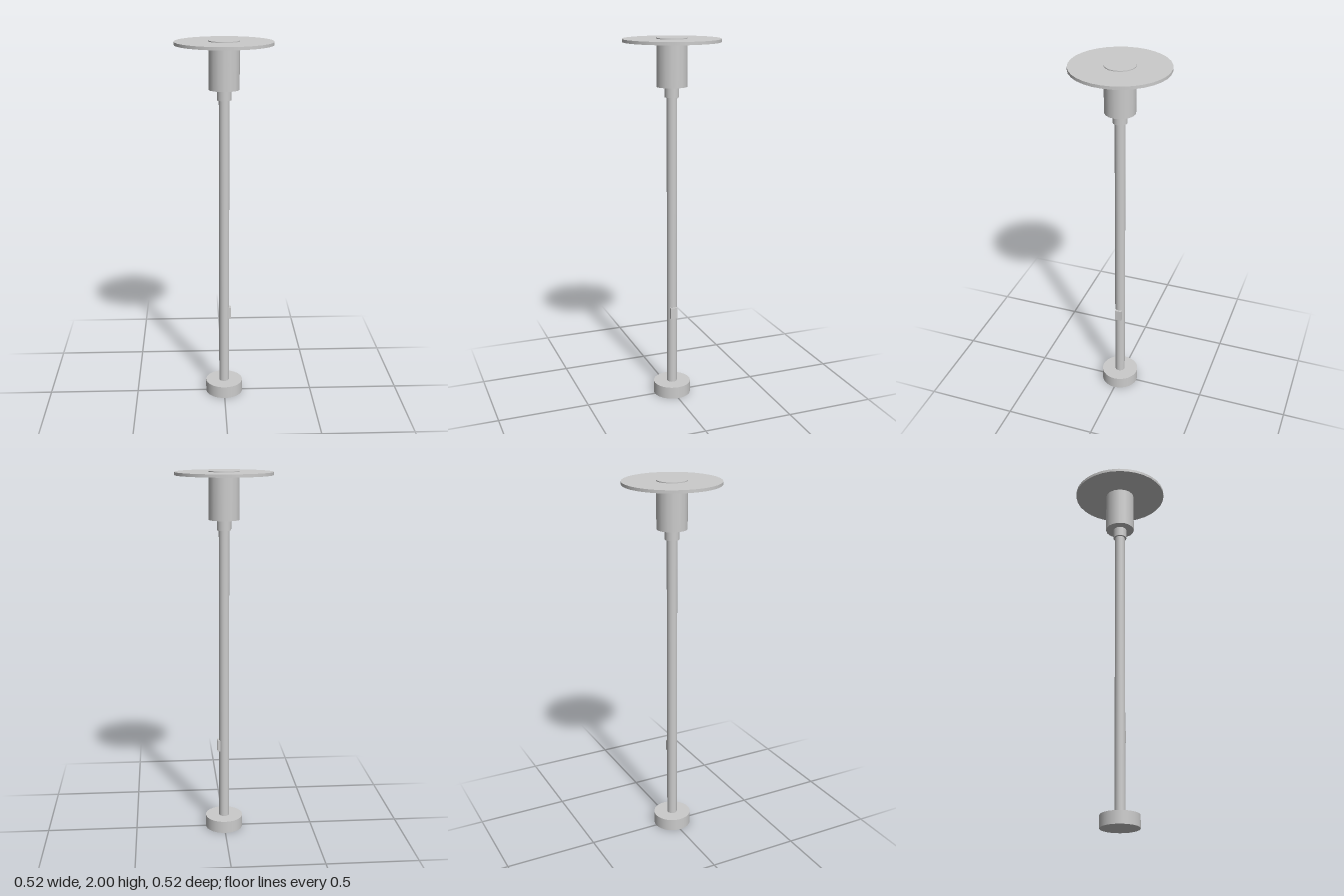
import * as THREE from 'three';

export function createModel() {
  const lamp = new THREE.Group();
  lamp.name = 'lampPost';
  const material = new THREE.MeshStandardMaterial({ color: 0xcccccc });

  const add = (name, geometry, x, y) => {
    const mesh = new THREE.Mesh(geometry, material);
    mesh.name = name;
    mesh.position.set(x, y, 0);
    lamp.add(mesh);
  };

  // Upright cylinder between two heights
  const drum = (name, radius, bottom, top, sides) =>
    add(name, new THREE.CylinderGeometry(radius, radius, top - bottom, sides), 0, (bottom + top) / 2);

  drum('base', 0.104, 0, 0.068, 32);
  drum('pole', 0.028, 0.068, 1.695, 16);
  drum('collar', 0.038, 1.693, 1.748, 16);
  drum('lampHousing', 0.081, 1.748, 2, 16);
  drum('shade', 0.259, 1.979, 1.995, 32);

  // Small service hatch on the model's left side of the pole
  add('serviceHatch', new THREE.BoxGeometry(0.018, 0.063, 0.038), 0.029, 0.49);

  return lamp;
}
